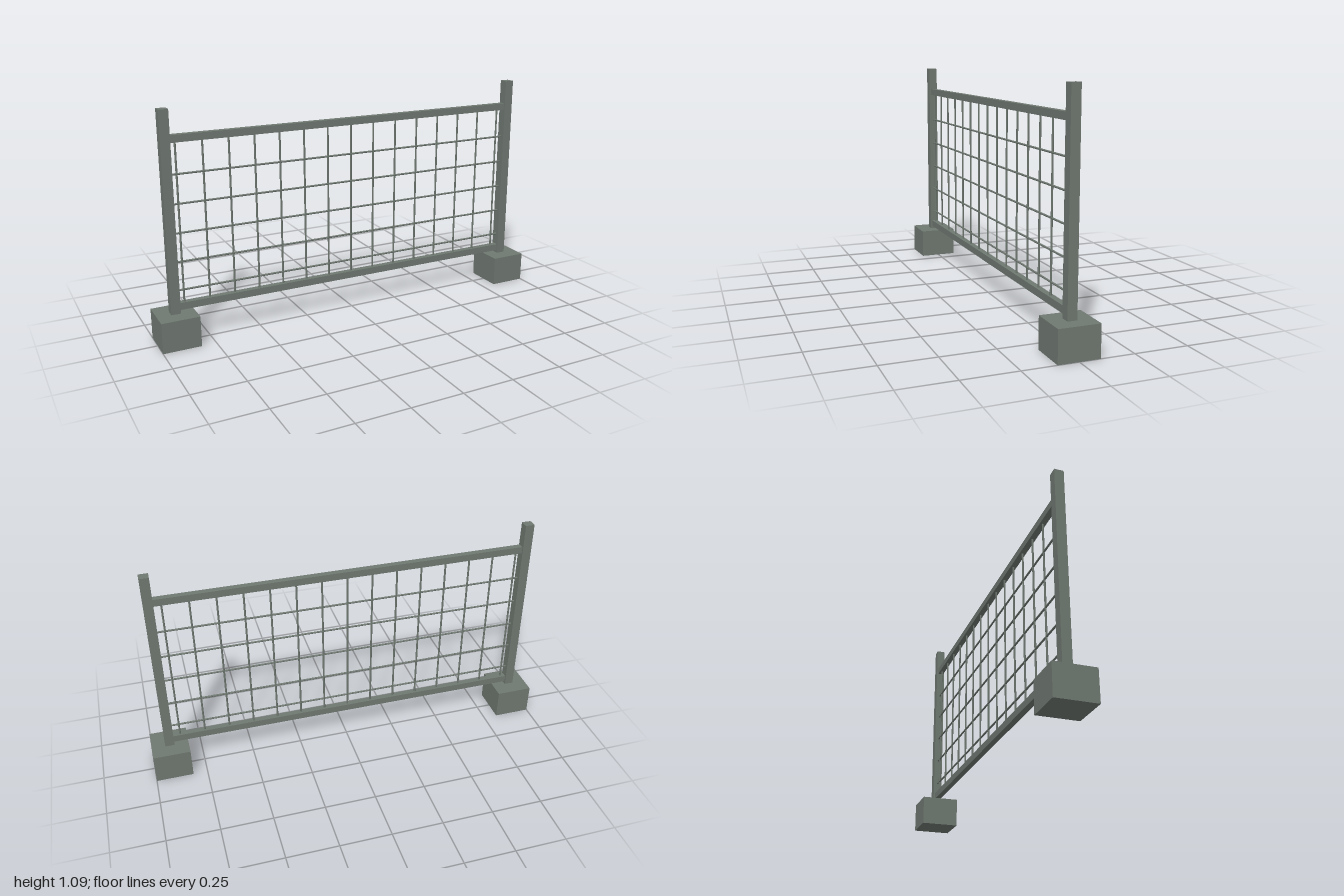
import * as THREE from 'three';

export function createModel() {
  const model = new THREE.Group();
  const steel = new THREE.MeshStandardMaterial({ color: 0x6f7871 });
  steel.name = 'greyGreenSteel';

  const add = (name, geometry, x, y, z = 0) => {
    const mesh = new THREE.Mesh(geometry, steel);
    mesh.name = name;
    mesh.position.set(x, y, z);
    model.add(mesh);
    return mesh;
  };

  // Footings and posts, mirrored left and right
  const footing = new THREE.BoxGeometry(0.18, 0.147, 0.19);
  const post = new THREE.BoxGeometry(0.045, 0.945, 0.044);
  for (const [side, s] of [['left', 1], ['right', -1]]) {
    add(`${side}Footing`, footing, s * 0.91, 0.0735);
    add(`${side}Post`, post, s * 0.911, 0.6185);
  }

  // Rails between the posts
  const rail = new THREE.BoxGeometry(1.79, 0.034, 0.029);
  add('topRail', rail, 0, 0.958);
  add('bottomRail', rail, 0, 0.178);

  // Mesh panel: evenly spaced round wires
  const radius = 0.0046;
  const upright = new THREE.CylinderGeometry(radius, radius, 0.76, 10);
  for (let i = 0; i < 15; i++) {
    add('uprightWire', upright, -0.864 + i * 0.1227, 0.568);
  }
  const cross = new THREE.CylinderGeometry(radius, radius, 1.79, 10).rotateZ(Math.PI / 2);
  for (let i = 0; i < 5; i++) {
    add('crossWire', cross, 0, 0.253 + i * 0.136);
  }
  return model;
}
